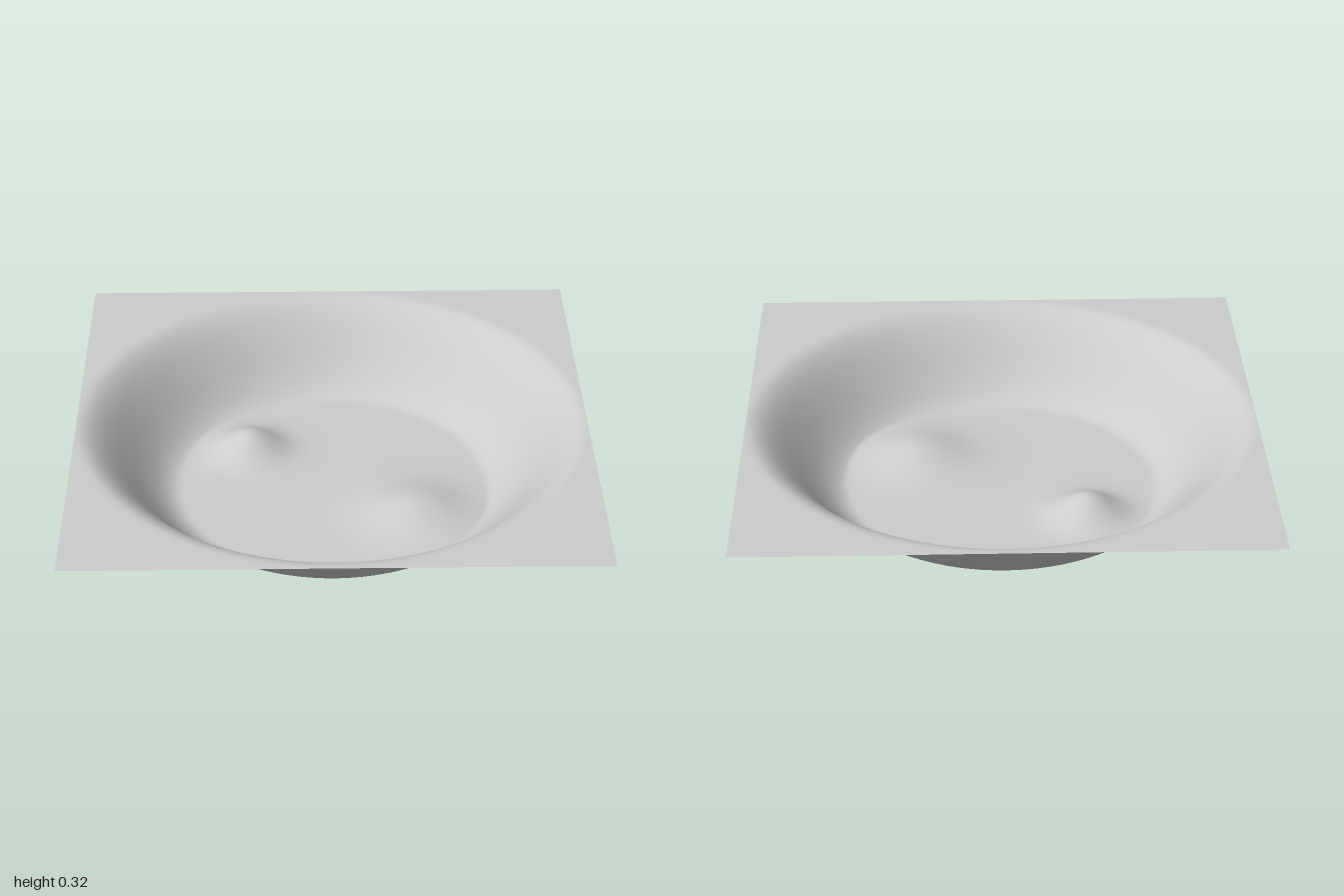
import * as THREE from 'three';

const RIM = 0.316; // height of the flat outer sheet
const FLOOR_RADIUS = 0.6;
const RIM_RADIUS = 1.0;

// Soft mounds on the crater floor
const MOUNDS = [
  { x: -0.33, z: -0.245, height: 0.09, spread: 0.09 },
  { x: 0.33, z: 0.215, height: 0.065, spread: 0.135 },
];

// Ground height: S-curved wall, or the mounded floor where that is higher
function heightAt(x, z) {
  const r = Math.hypot(x, z);
  const wall = RIM * THREE.MathUtils.smoothstep(r, FLOOR_RADIUS, RIM_RADIUS);
  let floor = 0;
  for (const m of MOUNDS) {
    const d2 = (x - m.x) ** 2 + (z - m.z) ** 2;
    floor += m.height * Math.exp(-d2 / (2 * m.spread ** 2));
  }
  return Math.max(wall, floor);
}

export function createModel() {
  const group = new THREE.Group();
  group.name = 'craterTerrain';

  const stone = new THREE.MeshStandardMaterial({ color: 0xcccccc, side: THREE.DoubleSide });
  stone.name = 'light grey stone';

  // Square sheet pressed into a crater
  const geometry = new THREE.PlaneGeometry(2, 2, 160, 160).rotateX(-Math.PI / 2);
  const pos = geometry.attributes.position;
  for (let i = 0; i < pos.count; i++) {
    pos.setY(i, heightAt(pos.getX(i), pos.getZ(i)));
  }
  geometry.computeVertexNormals();

  const crater = new THREE.Mesh(geometry, stone);
  crater.name = 'craterGround';
  group.add(crater);
  return group;
}
